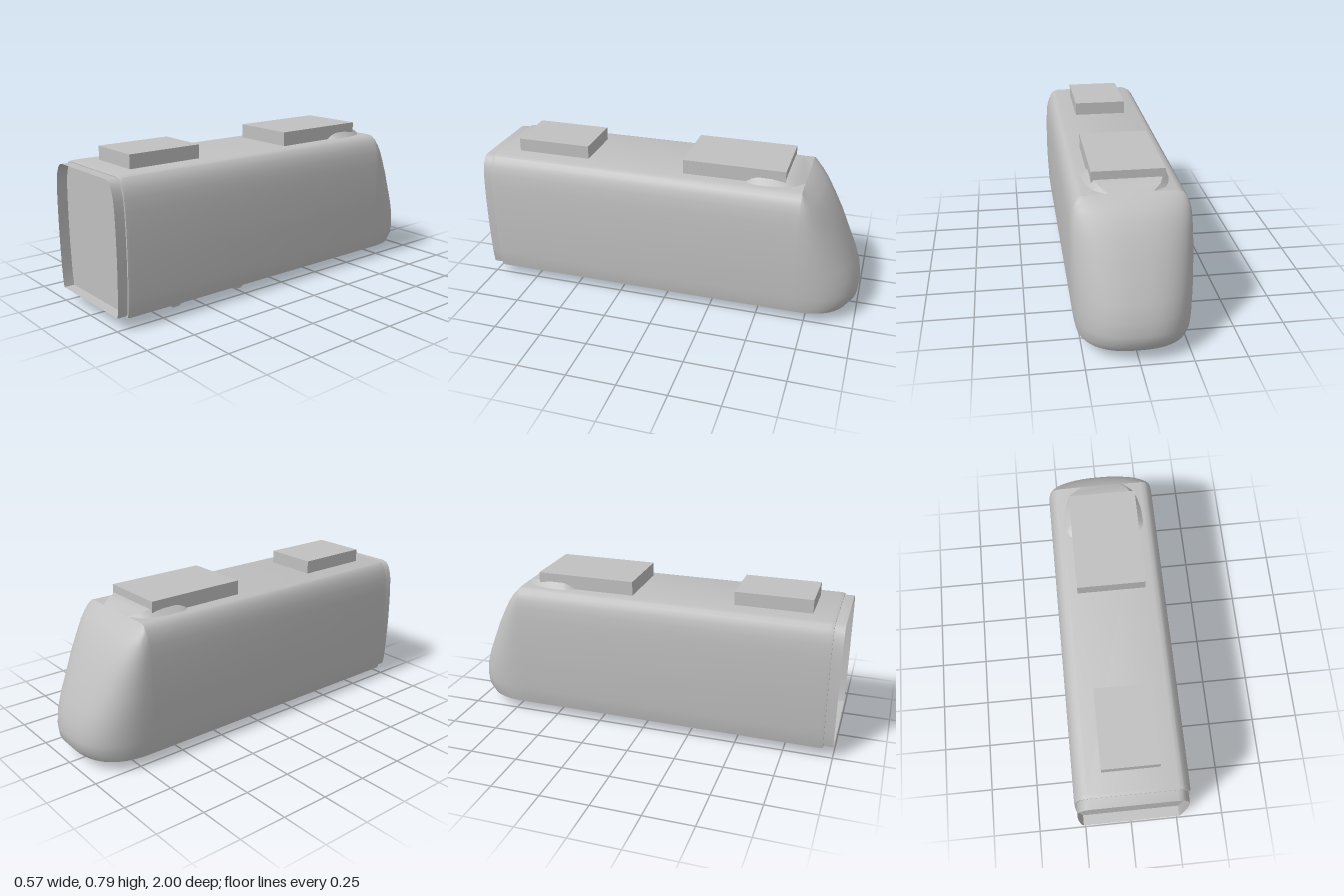
import * as THREE from 'three';
import { toCreasedNormals } from 'three/addons/utils/BufferGeometryUtils.js';

// Half cross-section of the car: [half width, height, nose length at that height]
const PROFILE = [
  [0.268, 0.06, 0.275], [0.276, 0.1, 0.305], [0.28, 0.15, 0.31], [0.283, 0.22, 0.3],
  [0.286, 0.3, 0.272], [0.287, 0.38, 0.235], [0.286, 0.48, 0.19], [0.283, 0.56, 0.145],
  [0.278, 0.62, 0.107], [0.269, 0.66, 0.073], [0.256, 0.69, 0.038], [0.238, 0.71, 0.012],
  [0.215, 0.717, 0],
];
const NOSE_Z = -0.69;

// Surface through rows of points with equal counts
function skin(rows, crease = 0.6) {
  const n = rows[0].length, index = [];
  for (let i = 0; i < rows.length - 1; i++) {
    for (let j = 0; j < n - 1; j++) {
      const a = i * n + j, b = a + 1, c = a + n, d = c + 1;
      index.push(a, b, d, a, d, c);
    }
  }
  const geo = new THREE.BufferGeometry();
  geo.setAttribute('position', new THREE.Float32BufferAttribute(rows.flat(2), 3));
  geo.setIndex(index);
  return toCreasedNormals(geo, crease);
}

// Closed cross-section at z, scaled in width and fitted between two heights
function ring(z, sx = 1, y0 = 0.06, y1 = 0.717) {
  const right = PROFILE.map(([x, y]) => [x * sx, y0 + (y - 0.06) / 0.657 * (y1 - y0), z]);
  const left = right.map(([x, y]) => [-x, y, z]).reverse();
  return [...right, ...left, right[0]];
}

// Rounded plan curve of the nose at one height
function noseRow([w, y, d]) {
  const row = [], steps = 32, e = 2 / 2.5;
  for (let k = 0; k <= steps; k++) {
    const a = Math.PI * k / steps;
    const c = Math.cos(a), s = Math.max(0, Math.sin(a));
    row.push([w * Math.sign(c) * Math.abs(c) ** e, y, NOSE_Z - d * s ** e]);
  }
  return row;
}

export function createModel() {
  const group = new THREE.Group();
  const grey = new THREE.MeshStandardMaterial({ color: 0xc0c0c0, side: THREE.DoubleSide });
  grey.name = 'light grey';

  function add(name, geo, x = 0, y = 0, z = 0) {
    const mesh = new THREE.Mesh(geo, grey);
    mesh.name = name;
    mesh.position.set(x, y, z);
    group.add(mesh);
    return mesh;
  }

  // Main shell with a small rounded rear lip
  add('body', skin([
    ring(NOSE_Z), ring(0.935), ring(0.95, 0.99, 0.062, 0.713), ring(0.95, 0.962, 0.07, 0.708),
  ]));

  // Streamlined nose and its floor
  const rows = PROFILE.map(noseRow);
  add('nose', skin(rows));
  const right = rows[0].slice(0, 17);
  add('noseFloor', skin([right.map(([x, y, z]) => [-x, y, z]), right]));

  // Open gangway frame with a recessed end panel
  add('gangwayFrame', skin([ring(0.945, 0.962, 0.07, 0.708), ring(1, 0.962, 0.07, 0.708)]));
  const panel = new THREE.Shape(
    ring(0, 0.962, 0.07, 0.708).slice(0, -1).map(([x, y]) => new THREE.Vector2(x, y)));
  add('endPanel', new THREE.ShapeGeometry(panel), 0, 0, 0.946);

  // Roof units
  add('frontRoofUnit', new THREE.BoxGeometry(0.346, 0.08, 0.52), 0, 0.75, -0.34);
  add('rearRoofUnit', new THREE.BoxGeometry(0.28, 0.075, 0.39), 0, 0.748, 0.64);

  // Low fairing around the front roof unit: [z, top half width, base half width, height]
  const fairing = [
    [-0.69, 0.1, 0.12, 0], [-0.65, 0.14, 0.165, 0.02], [-0.6, 0.16, 0.188, 0.032],
    [-0.53, 0.173, 0.203, 0.028], [-0.46, 0.173, 0.205, 0.028], [-0.43, 0.172, 0.202, 0.018],
    [-0.4, 0.17, 0.18, 0],
  ].map(([z, t, b, h]) => [
    [b, 0.716, z], [t, 0.717 + h, z], [-t, 0.717 + h, z], [-b, 0.716, z],
  ]);
  add('roofFairing', skin(fairing));

  // Wheels showing below the floor, with a thin runner on each side
  const wheel = new THREE.CylinderGeometry(0.06, 0.06, 0.021, 10);
  wheel.rotateZ(Math.PI / 2);
  for (const side of [-1, 1]) {
    for (const z of [0.235, 0.625]) add('wheel', wheel, side * 0.164, 0.06, z);
    add('runner', new THREE.BoxGeometry(0.04, 0.008, 0.4), side * 0.175, 0.06, 0.43);
  }
  return group;
}
